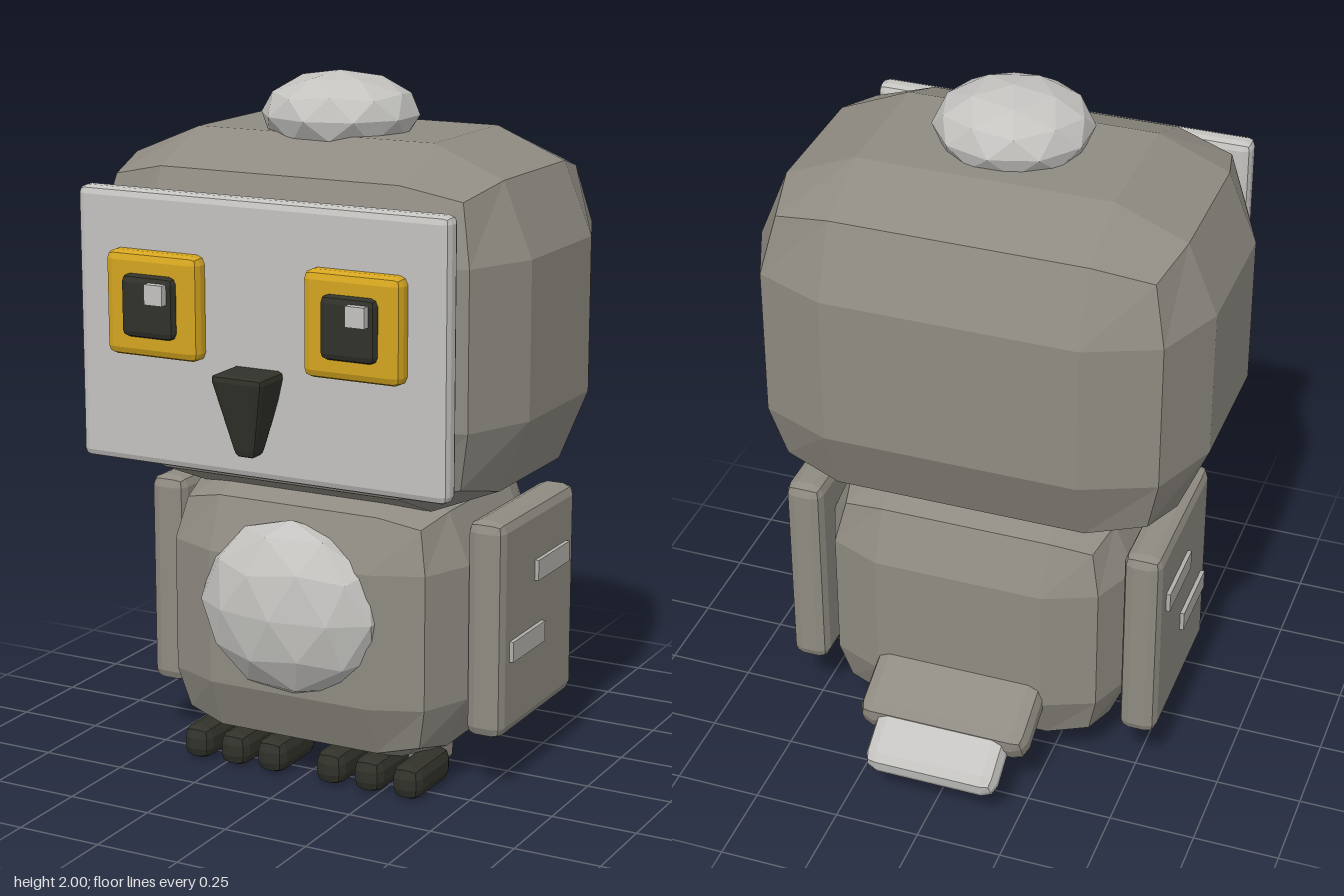
import * as THREE from 'three';
import { RoundedBoxGeometry } from 'three/addons/geometries/RoundedBoxGeometry.js';

const paint = (name, color) => {
  const m = new THREE.MeshStandardMaterial({ color, flatShading: true });
  m.name = name;
  return m;
};

export function createModel() {
  const feather = paint('grey feather', 0x8f8b82);
  const pale = paint('pale feather', 0xc4c3c0);
  const stripe = paint('wing stripe', 0xb2b0ab);
  const gold = paint('gold', 0xd4a520);
  const dark = paint('dark', 0x32322b);
  const model = new THREE.Group();
  model.name = 'owl';

  const add = (name, geometry, material, [x, y, z], parent = model) => {
    const mesh = new THREE.Mesh(geometry, material);
    mesh.name = name;
    mesh.position.set(x, y, z);
    parent.add(mesh);
    return mesh;
  };
  // Box with one faceted step on every edge
  const block = (w, h, d, r) => new RoundedBoxGeometry(w, h, d, 1, r);
  // Faceted ellipsoid with a vertex at the pole
  const puff = (rx, ry, rz) =>
    new THREE.IcosahedronGeometry(1, 1).rotateZ(0.5536).scale(rx, ry, rz);

  // Head and body
  add('body', block(0.92, 0.81, 0.8, 0.21), feather, [0, 0.47, 0]);
  add('head', block(1.31, 1.02, 0.98, 0.29), feather, [0, 1.33, 0.033]);
  add('belly', puff(0.285, 0.256, 0.14), pale, [0, 0.525, 0.37]);
  add('headTuft', puff(0.225, 0.12, 0.215), pale, [0, 1.88, 0.08]);
  add('facePlate', block(1.13, 0.765, 0.068, 0.022), pale, [0, 1.322, 0.519]);

  // Beak, tapering downward
  const beak = block(0.165, 0.23, 0.155, 0.018);
  const p = beak.attributes.position;
  for (let i = 0; i < p.count; i++) {
    const k = THREE.MathUtils.lerp(0.34, 1, (p.getY(i) + 0.115) / 0.23);
    p.setX(i, p.getX(i) * k);
    p.setZ(i, p.getZ(i) * k);
  }
  add('beak', beak, dark, [0, 1.135, 0.599]);

  for (const s of [1, -1]) {
    const side = s > 0 ? 'left' : 'right';

    // Eye: gold surround, pupil and glint
    const eye = new THREE.Group();
    eye.name = side + 'Eye';
    eye.position.set(s * 0.305, 1.398, 0);
    model.add(eye);
    add('eyeSurround', block(0.29, 0.29, 0.08, 0.024), gold, [0, 0, 0.56], eye);
    add('pupil', block(0.164, 0.174, 0.06, 0.02), dark, [0, 0, 0.594], eye);
    add('glint', new THREE.BoxGeometry(0.056, 0.056, 0.03), pale, [0.037, 0.042, 0.63], eye);

    // Wing with two raised stripes
    const wing = new THREE.Group();
    wing.name = side + 'Wing';
    model.add(wing);
    add('wingPanel', block(0.112, 0.63, 0.515, 0.032), feather, [s * 0.512, 0.485, -0.05], wing);
    for (const [y, z] of [[0.612, -0.125], [0.419, 0.04]])
      add('wingStripe', new THREE.BoxGeometry(0.02, 0.06, 0.217), stripe, [s * 0.57, y, z], wing);

    // Foot: pad, three front toes and a heel toe
    const foot = new THREE.Group();
    foot.name = side + 'Foot';
    foot.position.x = s * 0.218;
    model.add(foot);
    add('footPad', block(0.2, 0.07, 0.19, 0.012), feather, [0, 0.043, 0.07], foot);
    for (const x of [-0.122, 0, 0.122])
      add('toe', block(0.09, 0.1, 0.23, 0.034), dark, [x, 0.052, 0.235], foot);
    add('heelToe', block(0.1, 0.055, 0.15, 0.022), dark, [0, 0.068, -0.015], foot);
  }

  // Two-part tail sloping down and back
  add('tailBase', block(0.512, 0.122, 0.3, 0.042), feather, [0, 0.266, -0.415]).rotation.x = -0.44;
  add('tailTip', block(0.4, 0.1, 0.26, 0.04), pale, [0, 0.196, -0.55]).rotation.x = -0.57;

  return model;
}
